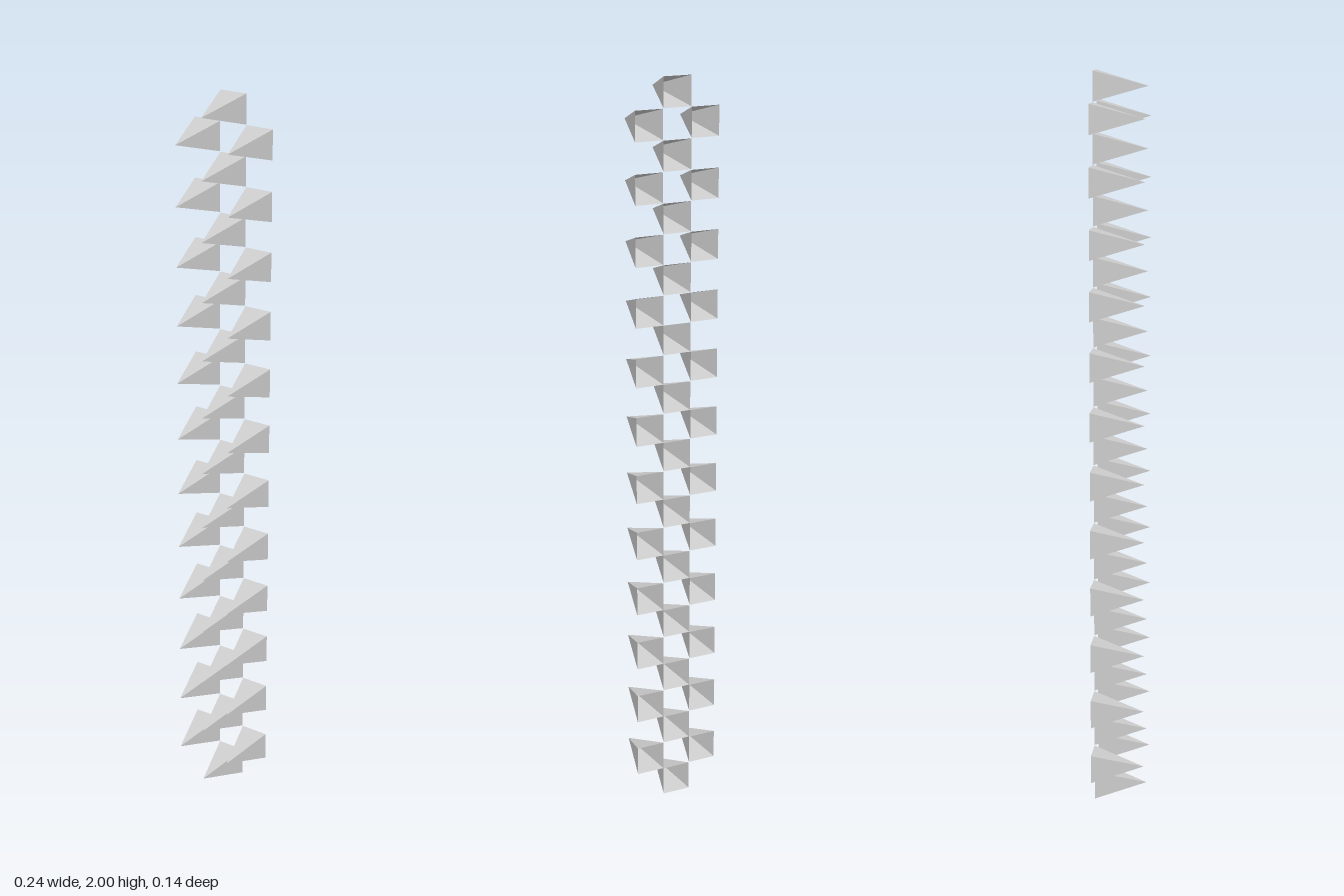
import * as THREE from 'three';

export function createModel() {
  const group = new THREE.Group();
  group.name = 'studStrip';

  const width = 0.079, depth = 0.141, columnGap = 0.08;
  const rowGap = (2 - width) / 24;

  const material = new THREE.MeshStandardMaterial({
    color: 0xcccccc, flatShading: true, side: THREE.DoubleSide,
  });

  // Hollow four-sided spike, open at the back, tip towards +z
  const spike = new THREE.ConeGeometry(width / Math.SQRT2, depth, 4, 1, true);
  spike.rotateY(Math.PI / 4);
  spike.rotateX(Math.PI / 2);

  const addSpike = (name, x, row) => {
    const mesh = new THREE.Mesh(spike, material);
    mesh.name = name;
    mesh.position.set(x, width / 2 + row * rowGap, 0);
    group.add(mesh);
  };

  // Checkerboard: one centre spike on even rows, a pair of side spikes on odd rows
  for (let row = 0; row < 25; row++) {
    if (row % 2 === 0) {
      addSpike('centreSpike', 0, row);
    } else {
      addSpike('leftSpike', columnGap, row);
      addSpike('rightSpike', -columnGap, row);
    }
  }
  return group;
}
